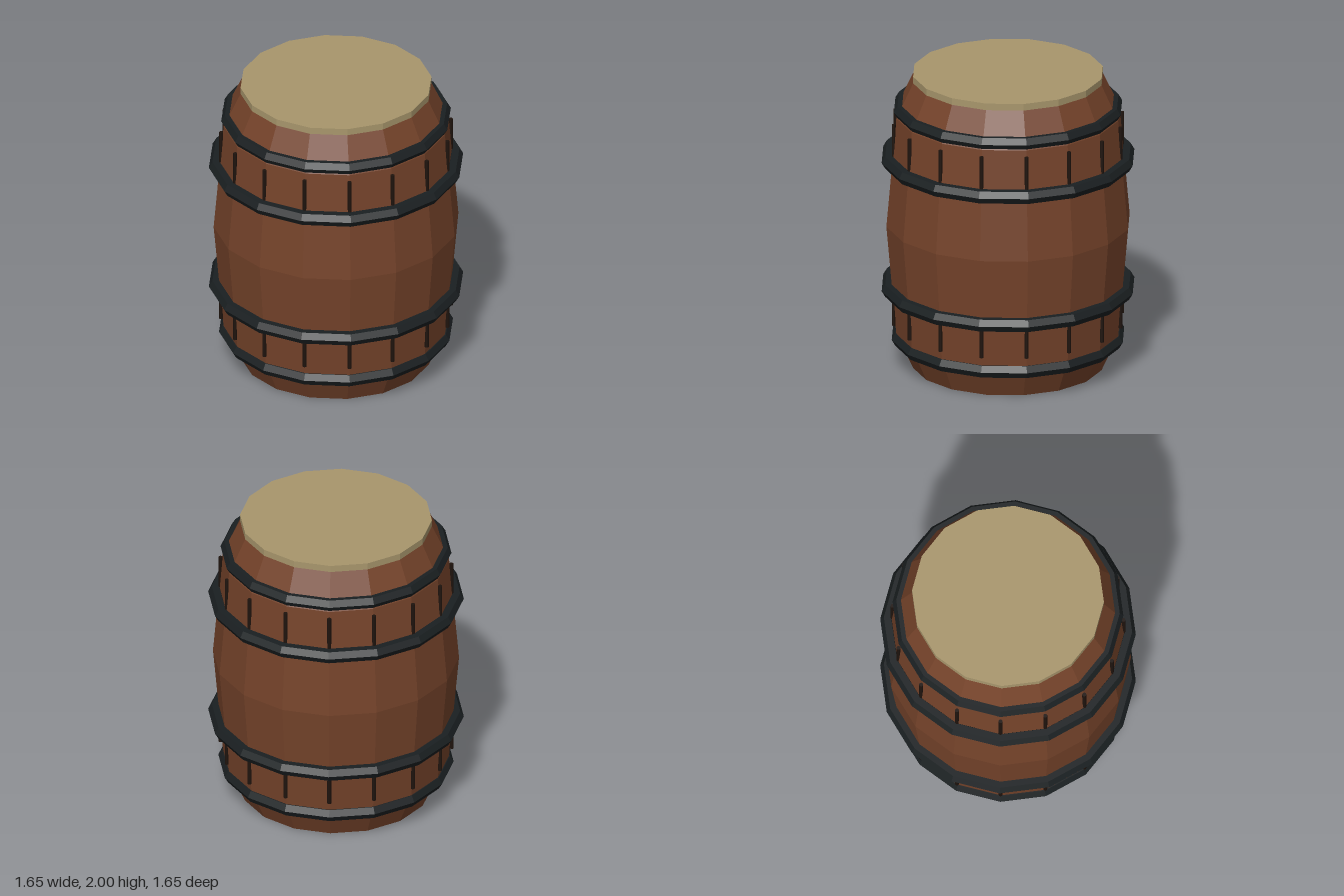
import * as THREE from 'three';

const SIDES = 16;

const paint = (color, side = THREE.FrontSide) =>
  new THREE.MeshStandardMaterial({ color, flatShading: true, side });

export function createModel() {
  const barrel = new THREE.Group();
  barrel.name = 'barrel';
  const wood = paint(0x75432a, THREE.DoubleSide);
  const paleWood = paint(0xa8966c);
  const iron = paint(0x1a1f21);
  const darkWood = paint(0x1e130d);

  const add = (name, geometry, material, x = 0, y = 0, z = 0) => {
    const mesh = new THREE.Mesh(geometry, material);
    mesh.name = name;
    mesh.position.set(x, y, z);
    barrel.add(mesh);
    return mesh;
  };

  // Bulging staved wall, open at the bottom
  const profile = [[0.62, 0], [0.73, 0.24], [0.795, 0.98], [0.73, 1.72], [0.62, 1.955]]
    .map(([r, y]) => new THREE.Vector2(r, y));
  add('body', new THREE.LatheGeometry(profile, SIDES), wood);

  // Pale lid
  add('lid', new THREE.CylinderGeometry(0.62, 0.62, 0.045, SIDES), paleWood, 0, 1.9775, 0);

  // Iron hoops with a hexagonal section: [height, ring radius]
  const tube = 0.047;
  for (const [y, radius] of [[0.2, 0.713], [0.54, 0.779], [1.42, 0.779], [1.76, 0.699]]) {
    const hoop = new THREE.TorusGeometry(radius, tube, 6, SIDES).rotateX(Math.PI / 2);
    add('hoop', hoop, iron, 0, y, 0);
  }

  // Upright rods along the stave seams, sunk into the wall at mid-height
  const rod = new THREE.CylinderGeometry(0.0135, 0.0135, 1.38, 8);
  for (let i = 0; i < SIDES; i++) {
    const a = (i / SIDES) * Math.PI * 2;
    add('seamRod', rod, darkWood, 0.746 * Math.sin(a), 0.99, 0.746 * Math.cos(a)).rotation.y = a;
  }

  return barrel;
}
